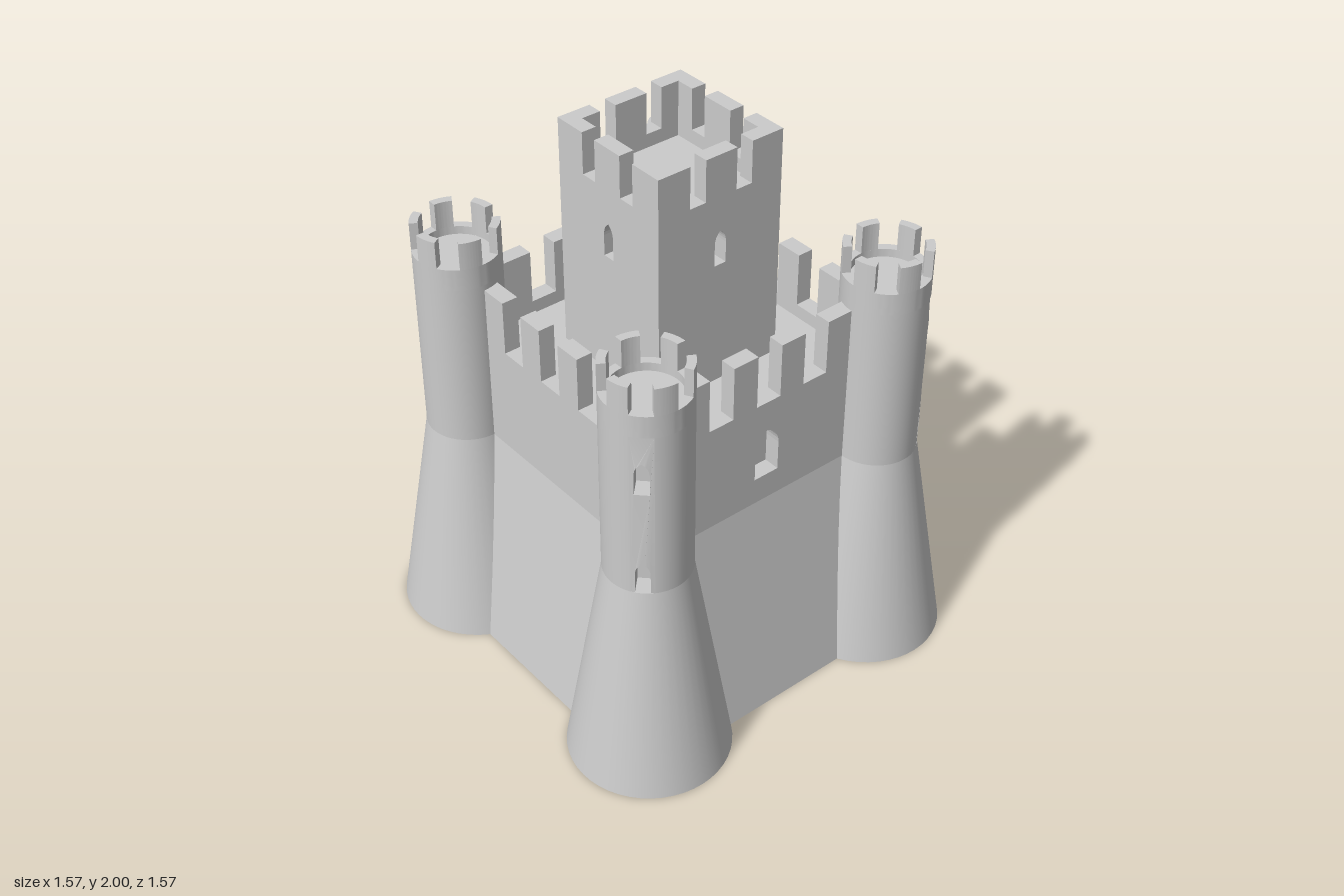
import * as THREE from 'three';
import { toCreasedNormals } from 'three/addons/utils/BufferGeometryUtils.js';

const mat = new THREE.MeshStandardMaterial({ color: 0xcccccc });
const matFlat = new THREE.MeshStandardMaterial({ color: 0xcccccc, flatShading: true });

function add(parent, name, geometry, material = mat, x = 0, y = 0, z = 0) {
  const mesh = new THREE.Mesh(geometry, material);
  mesh.name = name;
  mesh.position.set(x, y, z);
  parent.add(mesh);
  return mesh;
}

// Pointed-arch opening with its sill at y
function arch(w, y, h) {
  const p = new THREE.Path();
  const spring = y + h * 0.6;
  p.moveTo(-w / 2, y);
  p.lineTo(w / 2, y);
  p.lineTo(w / 2, spring);
  p.quadraticCurveTo(w / 2, y + h * 0.88, 0, y + h);
  p.quadraticCurveTo(-w / 2, y + h * 0.88, -w / 2, spring);
  p.closePath();
  return p;
}

function extrude(shape, depth, curveSegments = 6) {
  return new THREE.ExtrudeGeometry(shape, { depth, bevelEnabled: false, curveSegments });
}

// Flat wall with notches cut in its top; front face lies on z = 0
function battlementWall(half, y0, notchY, top, notches, thickness, hole) {
  const s = new THREE.Shape();
  s.moveTo(-half, y0);
  s.lineTo(half, y0);
  s.lineTo(half, top);
  for (const [a, b] of [...notches].reverse()) {
    s.lineTo(b, top);
    s.lineTo(b, notchY);
    s.lineTo(a, notchY);
    s.lineTo(a, top);
  }
  s.lineTo(-half, top);
  s.closePath();
  if (hole) s.holes.push(hole);
  return extrude(s, thickness).translate(0, 0, -thickness);
}

// Upright ring sector; angles run from +z towards +x
function ringSector(r0, r1, from, to, h) {
  const s = new THREE.Shape();
  const a = from - Math.PI / 2, b = to - Math.PI / 2;
  s.absarc(0, 0, r1, a, b, false);
  s.absarc(0, 0, r0, b, a, true);
  s.closePath();
  return toCreasedNormals(extrude(s, h, 8).rotateX(-Math.PI / 2), 0.5);
}

const R = 0.15, RI = 0.12, FLARE = 0.8;

// Strip of tower wall with two arched windows, bent to the tower's curve
function windowStrip(halfAngle, top) {
  const w = R * Math.sin(halfAngle), depth = 0.07;
  const s = new THREE.Shape();
  s.moveTo(-w, FLARE);
  s.lineTo(w, FLARE);
  s.lineTo(w, top);
  s.lineTo(-w, top);
  s.closePath();
  s.holes.push(arch(0.05, FLARE + 0.002, 0.12), arch(0.05, 1.2, 0.12));
  const g = extrude(s, depth);
  const p = g.attributes.position;
  for (let i = 0; i < p.count; i++) {
    const x = p.getX(i);
    p.setZ(i, Math.sqrt(R * R - x * x) - depth + p.getZ(i));
  }
  return toCreasedNormals(g, 0.5);
}

function makeTower(sx, sz) {
  const tower = new THREE.Group();
  tower.name = 'cornerTower';
  tower.position.set(sx * 0.5, 0, sz * 0.5);

  // Body turned so that its windows face outwards
  const body = new THREE.Group();
  body.name = 'towerBody';
  body.rotation.y = Math.atan2(sx, sz);
  tower.add(body);
  const half = Math.PI / 12, top = 1.42;
  add(body, 'flaredBase', new THREE.CylinderGeometry(R, 0.285, FLARE, 48), mat, 0, FLARE / 2, 0);
  add(body, 'shaft', new THREE.CylinderGeometry(R, R, top - FLARE, 44, 1, true,
    half, Math.PI * 2 - half * 2), mat, 0, (top + FLARE) / 2, 0);
  add(body, 'windowStrip', windowStrip(half, top));
  add(body, 'windowBack', new THREE.PlaneGeometry(0.076, top - FLARE), mat,
    0, (top + FLARE) / 2, R - 0.07);

  // Parapet ring, roof floor and six merlons
  const ring = new THREE.Shape().absarc(0, 0, R, 0, Math.PI * 2, false);
  ring.holes.push(new THREE.Path().absarc(0, 0, RI, 0, Math.PI * 2, true));
  add(tower, 'parapet', toCreasedNormals(extrude(ring, 1.5 - top, 48).rotateX(-Math.PI / 2), 0.5),
    mat, 0, top, 0);
  add(tower, 'roofFloor', new THREE.CylinderGeometry(RI, RI, 0.05, 48), mat, 0, 1.445, 0);
  for (let i = 0; i < 6; i++) {
    const a = i * Math.PI / 3;
    add(tower, 'merlon', ringSector(RI, R, a, a + Math.PI / 6, 0.1), mat, 0, 1.5, 0);
  }
  return tower;
}

export function createModel() {
  const castle = new THREE.Group();
  castle.name = 'castle';

  // Sloping foot of the curtain walls
  const foot = new THREE.CylinderGeometry(0.5 * Math.SQRT2, 0.64 * Math.SQRT2, FLARE, 4)
    .rotateY(Math.PI / 4);
  add(castle, 'wallFoot', foot, matFlat, 0, FLARE / 2, 0);

  // Courtyard floor
  add(castle, 'courtyard', new THREE.BoxGeometry(0.89, 0.05, 0.89), mat, 0, 1.125, 0);

  // Four curtain walls and four keep walls; the +x curtain wall has a window
  const wallNotches = [[-0.25, -0.15], [-0.05, 0.05], [0.15, 0.25]];
  const keepNotches = [[-0.125, -0.0625], [0.0625, 0.125]];
  for (let i = 0; i < 4; i++) {
    const side = new THREE.Group();
    side.name = 'castleSide';
    side.rotation.y = i * Math.PI / 2;
    castle.add(side);
    const hole = i === 1 ? arch(0.1, 0.9, 0.185) : null;
    add(side, 'curtainWall', battlementWall(0.43, FLARE, 1.2, 1.4, wallNotches, 0.06, hole),
      mat, 0, 0, 0.5);
    if (hole) add(side, 'wallWindowBack', new THREE.PlaneGeometry(0.14, 0.24), mat, 0, 0.99, 0.441);
    add(side, 'keepWall', battlementWall(0.25, 1.14, 1.85, 2, keepNotches, 0.055,
      arch(0.046, 1.6, 0.125)), mat, 0, 0, 0.25);
  }

  // Roof floor of the keep
  add(castle, 'keepRoof', new THREE.BoxGeometry(0.392, 0.04, 0.392), mat, 0, 1.78, 0);

  for (const sx of [-1, 1]) for (const sz of [-1, 1]) castle.add(makeTower(sx, sz));
  return castle;
}
